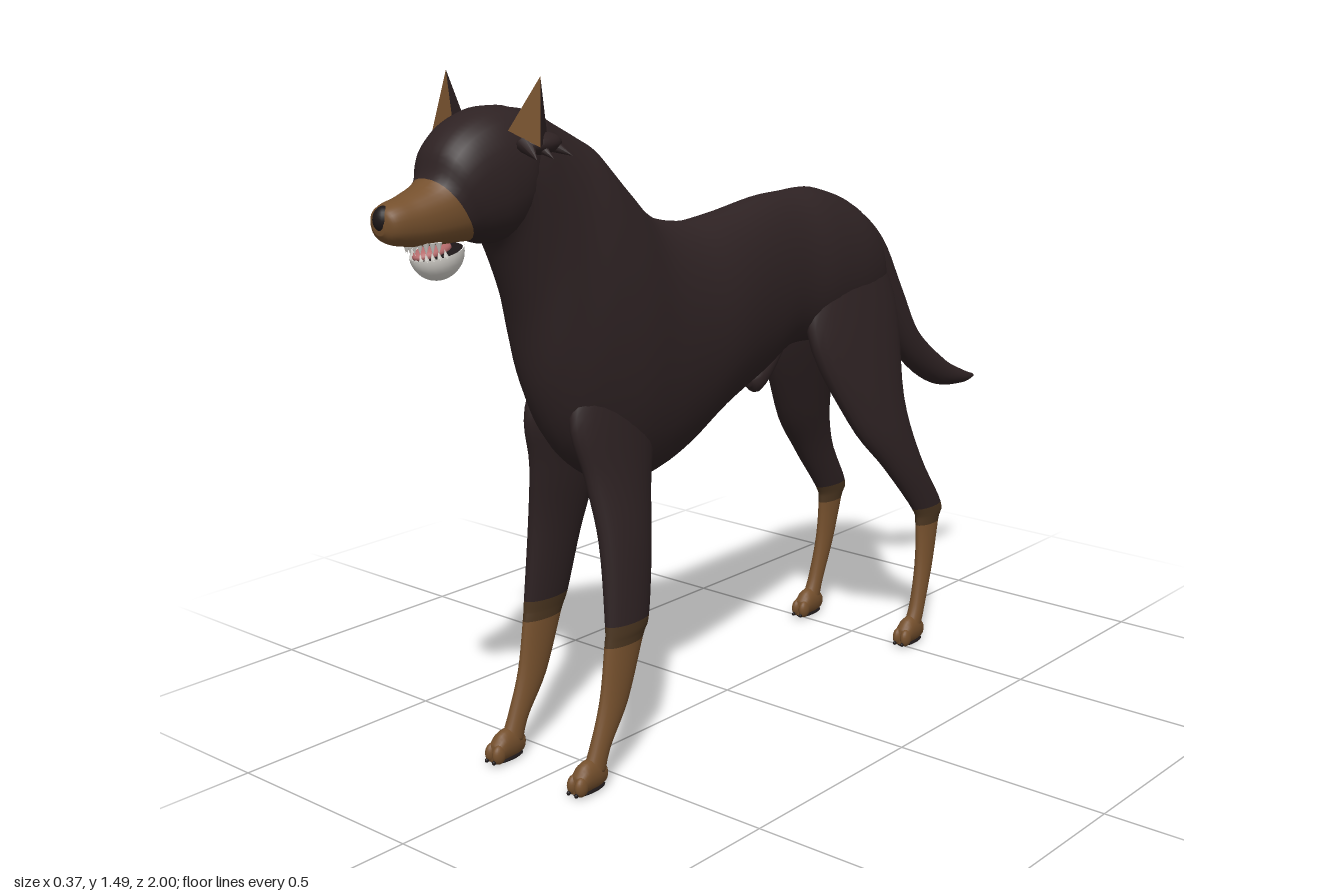
import * as THREE from 'three';

const mat = (name, color) => {
  const m = new THREE.MeshStandardMaterial({ color });
  m.name = name;
  return m;
};

// Smooth curve value between b and c
const curve = (a, b, c, d, t) =>
  b + 0.5 * t * (c - a + t * (2 * a - 5 * b + 4 * c - d + t * (3 * (b - c) + d - a)));

// Skin over ellipses. Section: [zA, yA, zB, yB, halfWidth, centreX]
// A and B are the opposite edge points seen from the side.
// mats is one material, or an array with one entry per span.
// A power below 1 makes the outline boxier.
function loft(name, sections, mats, sides = 24, power = 1) {
  const rows = [], steps = 5;
  const last = sections.length - 1;
  const at = i => sections[Math.min(last, Math.max(0, i))];
  const round = v => Math.sign(v) * Math.abs(v) ** power;
  for (let i = 0; i < last; i++)
    for (let k = 0; k < steps; k++)
      rows.push([0, 1, 2, 3, 4, 5].map(c =>
        curve(at(i - 1)[c] ?? 0, at(i)[c] ?? 0, at(i + 1)[c] ?? 0, at(i + 2)[c] ?? 0, k / steps)));
  rows.push([0, 1, 2, 3, 4, 5].map(c => at(last)[c] ?? 0));

  const pos = [], index = [];
  for (const [za, ya, zb, yb, w, cx] of rows)
    for (let j = 0; j < sides; j++) {
      const a = (j / sides) * Math.PI * 2, c = round(Math.cos(a)) / 2;
      pos.push(cx + round(Math.sin(a)) * w, (ya + yb) / 2 + c * (ya - yb), (za + zb) / 2 + c * (za - zb));
    }
  const endPoint = ([za, ya, zb, yb, , cx]) => pos.push(cx, (ya + yb) / 2, (za + zb) / 2);
  const top = (rows.length - 1) * sides, first = rows.length * sides;
  endPoint(rows[0]);
  endPoint(rows[rows.length - 1]);

  const geo = new THREE.BufferGeometry();
  const many = Array.isArray(mats);
  for (let i = 0; i < rows.length - 1; i++) {
    const start = index.length;
    for (let j = 0; j < sides; j++) {
      const n = (j + 1) % sides, p = i * sides, q = p + sides;
      if (i === 0) index.push(first, j, n);
      index.push(p + j, q + j, p + n, p + n, q + j, q + n);
      if (i === rows.length - 2) index.push(first + 1, top + n, top + j);
    }
    if (many) geo.addGroup(start, index.length - start, Math.floor(i / steps));
  }
  geo.setAttribute('position', new THREE.Float32BufferAttribute(pos, 3));
  geo.setIndex(index);
  geo.computeVertexNormals();
  const mesh = new THREE.Mesh(geo, mats);
  mesh.name = name;
  return mesh;
}

function ball(name, material, [x, y, z], [rx, ry, rz], geo = new THREE.SphereGeometry(1, 20, 14)) {
  const mesh = new THREE.Mesh(geo, material);
  mesh.name = name;
  mesh.position.set(x, y, z);
  mesh.scale.set(rx, ry, rz);
  return mesh;
}

export function createModel() {
  const coat = mat('darkCoat', 0x2e2223);
  const band = mat('brownBand', 0x4a3520);
  const tan = mat('tan', 0x75502d);
  const black = mat('black', 0x1d1718);
  const white = mat('white', 0xd9d6d0);
  const pink = mat('pink', 0xb56b6c);
  const dog = new THREE.Group();
  dog.name = 'dog';

  // Trunk and neck, rump to throat
  dog.add(loft('body', [
    [-.53, 1.02, -.54, .90, .04], [-.50, 1.07, -.52, .82, .078],
    [-.42, 1.125, -.42, .80, .10], [-.30, 1.165, -.30, .80, .10],
    [-.20, 1.168, -.20, .80, .086], [-.10, 1.165, -.10, .755, .09],
    [.05, 1.145, .05, .70, .108], [.17, 1.14, .18, .635, .115],
    [.28, 1.17, .30, .60, .124], [.37, 1.25, .42, .61, .131],
    [.44, 1.32, .54, .70, .122], [.50, 1.355, .61, .83, .107],
    [.56, 1.385, .65, 1.0, .098], [.61, 1.41, .70, 1.13, .095],
    [.66, 1.42, .73, 1.17, .093]], coat, 32));
  dog.add(loft('tail', [
    [-1.0, .592, -.998, .582, .008, .02], [-.94, .615, -.93, .578, .025, .02],
    [-.85, .66, -.81, .60, .033, .02], [-.715, .765, -.69, .675, .036, .018],
    [-.635, .90, -.60, .795, .036, .015], [-.56, 1.025, -.53, .93, .036, .01],
    [-.47, 1.10, -.44, 1.0, .035, 0], [-.38, 1.115, -.37, 1.04, .02, 0]], coat));
  dog.add(loft('sheath', [
    [-.18, .84, -.20, .80, .02], [-.13, .80, -.14, .735, .026],
    [-.09, .775, -.10, .708, .026], [-.07, .75, -.075, .725, .012]], coat, 14));

  // Head with tan muzzle
  dog.add(loft('head', [
    [.60, 1.38, .64, 1.20, .06], [.66, 1.42, .68, 1.18, .092],
    [.74, 1.425, .72, 1.165, .098], [.81, 1.40, .75, 1.165, .092],
    [.856, 1.358, .77, 1.17, .082], [.878, 1.303, .795, 1.176, .067],
    [.93, 1.278, .89, 1.178, .052], [.968, 1.268, .95, 1.185, .043],
    [.988, 1.257, .978, 1.195, .033], [.994, 1.24, .992, 1.21, .015]],
    [coat, coat, coat, coat, coat, tan, tan, tan, tan], 28, .88));
  dog.add(ball('nose', black, [0, 1.238, .978], [.022, .026, .022]));

  // Lower jaw, tongue and teeth
  const mouth = new THREE.Group();
  mouth.name = 'mouth';
  mouth.position.set(0, 1.163, .855);
  mouth.rotation.x = .2;
  const bowl = new THREE.SphereGeometry(1, 24, 10, 0, Math.PI * 2, Math.PI / 2, Math.PI / 2);
  mouth.add(ball('lowerJaw', white, [0, 0, 0], [.047, .055, .057], bowl));
  mouth.add(ball('mouthFloor', black, [0, -.001, 0], [.044, .003, .054]));
  mouth.add(ball('tongue', pink, [0, .004, .012], [.028, .014, .044]));
  for (let i = 0; i < 11; i++) {
    const a = (i / 10 - .5) * 2.6, x = Math.sin(a), z = Math.cos(a);
    const upper = new THREE.Mesh(new THREE.ConeGeometry(.007, .022, 6), white);
    upper.name = 'upperTooth';
    upper.position.set(x * .04, 1.177, .87 + z * .05);
    upper.rotation.x = Math.PI;
    dog.add(upper);
    const lower = new THREE.Mesh(new THREE.ConeGeometry(.006, .016, 6), white);
    lower.name = 'lowerTooth';
    lower.position.set(x * .042, .005, z * .051);
    mouth.add(lower);
  }
  dog.add(mouth);

  for (const s of [1, -1]) {
    const side = s > 0 ? 'left' : 'right';
    const cx = list => list.map(r => [...r.slice(0, 5), r[5] * s]);
    const legMats = [coat, coat, coat, coat, band, tan, tan, tan];

    // Legs, shoulder or hip down to ankle
    dog.add(loft(side + 'FrontLeg', cx([
      [.50, .95, .34, .95, .03, .06], [.57, .79, .33, .74, .042, .064],
      [.545, .66, .358, .61, .039, .08], [.53, .52, .385, .48, .034, .104],
      [.535, .345, .41, .345, .026, .12], [.54, .30, .43, .30, .022, .121],
      [.557, .19, .48, .17, .019, .122], [.587, .10, .537, .085, .018, .123],
      [.61, .05, .555, .035, .019, .123]]), legMats));
    dog.add(loft(side + 'HindLeg', cx([
      [-.31, 1.09, -.45, 1.09, .025, .035], [-.225, .84, -.555, .88, .052, .062],
      [-.328, .605, -.533, .64, .043, .11], [-.44, .47, -.575, .48, .031, .138],
      [-.545, .345, -.657, .345, .022, .15], [-.56, .30, -.646, .30, .019, .152],
      [-.557, .20, -.615, .19, .018, .156], [-.535, .10, -.577, .09, .018, .16],
      [-.51, .05, -.56, .035, .019, .16]]), legMats));

    // Paws with two toes, dark claws and a dark pad
    for (const [part, x, z] of [['FrontPaw', .123, .55], ['HindPaw', .16, -.575]]) {
      const paw = new THREE.Group();
      paw.name = side + part;
      paw.position.set(x * s, 0, z);
      paw.add(loft('foot', [
        [0, .045, .008, .008, .012], [.03, .07, .03, .004, .02],
        [.065, .07, .07, .004, .022], [.09, .045, .092, .008, .018]], tan, 16));
      paw.add(ball('pad', black, [0, .006, .048], [.017, .006, .045]));
      for (const t of [-1, 1]) {
        paw.add(ball('toe', tan, [t * .011, .026, .082], [.012, .022, .018]));
        paw.add(ball('claw', black, [t * .011, .012, .098], [.004, .005, .005]));
      }
      dog.add(paw);
    }

    // Eye, set nearly flush
    dog.add(ball(side + 'Eye', black, [.062 * s, 1.32, .822], [.012, .008, .014]));

    // Upright ear: tan inside, dark behind
    const ear = new THREE.Group();
    ear.name = side + 'Ear';
    const inner = [.076 * s, 1.385, .735], outer = [.152 * s, 1.358, .725];
    const tip = [.13 * s, 1.487, .70], back = [.11 * s, 1.37, .665];
    const face = (name, material, tris) => {
      const pts = tris.flatMap(t => (s > 0 ? t : [t[0], t[2], t[1]]).flat());
      const geo = new THREE.BufferGeometry();
      geo.setAttribute('position', new THREE.Float32BufferAttribute(pts, 3));
      geo.computeVertexNormals();
      const mesh = new THREE.Mesh(geo, material);
      mesh.name = name;
      ear.add(mesh);
    };
    face('earInside', tan, [[inner, outer, tip]]);
    face('earBack', coat, [[outer, back, tip], [back, inner, tip], [inner, back, outer]]);

    // Ragged tuft at the ear base
    ear.add(ball('earBase', coat, [.108 * s, 1.36, .685], [.034, .022, .05]));
    [[.73, .4], [.695, .1], [.655, -.4]].forEach(([z, lean]) => {
      const tuft = new THREE.Mesh(new THREE.ConeGeometry(.018, .06, 8), coat);
      tuft.name = 'earTuft';
      tuft.position.set(.132 * s, 1.348, z);
      tuft.quaternion.setFromUnitVectors(new THREE.Vector3(0, 1, 0),
        new THREE.Vector3(s, -.5, lean).normalize());
      ear.add(tuft);
    });
    dog.add(ear);
  }
  return dog;
}
